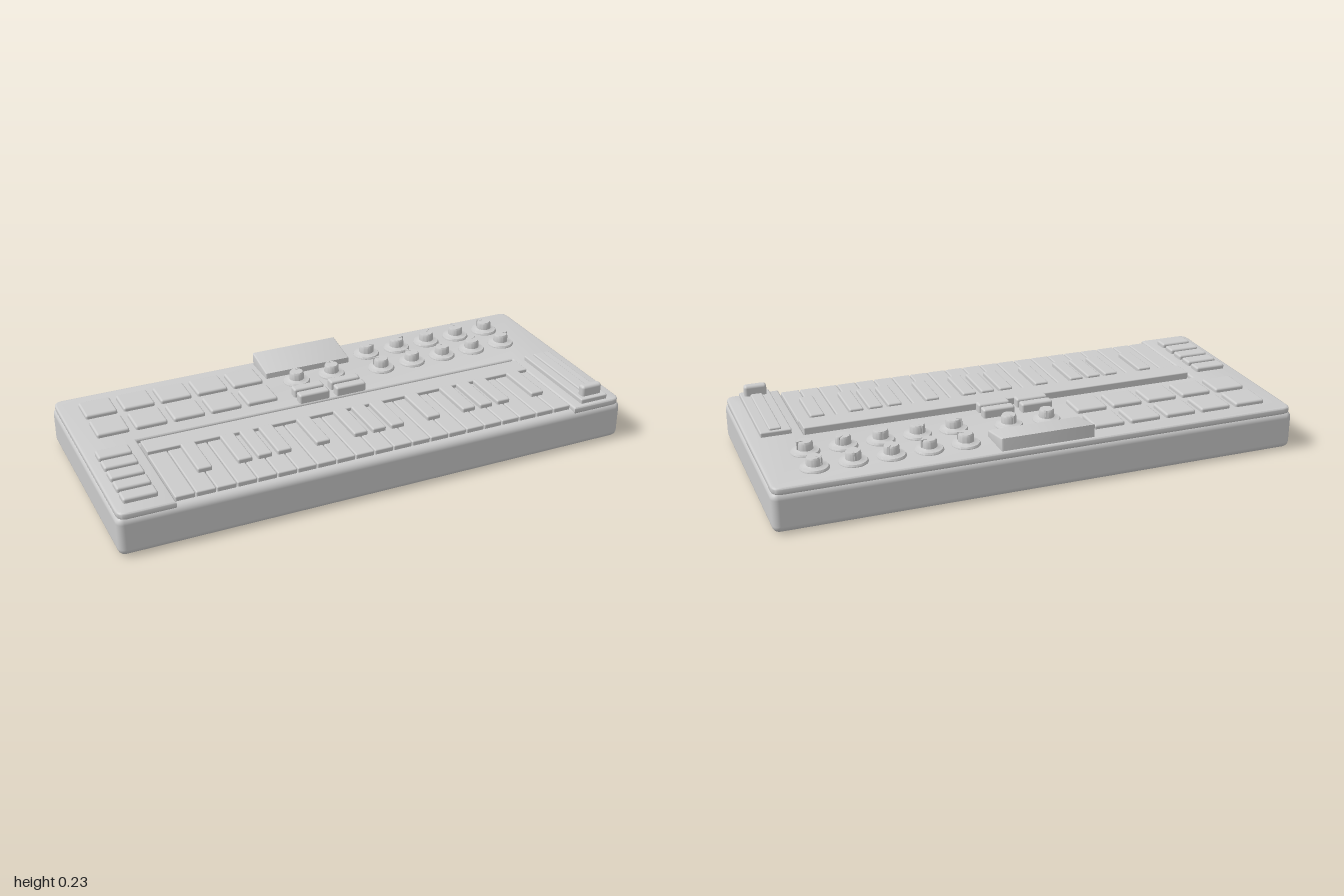
import * as THREE from 'three';
import { toCreasedNormals } from 'three/addons/utils/BufferGeometryUtils.js';
import { RoundedBoxGeometry } from 'three/addons/geometries/RoundedBoxGeometry.js';

const grey = new THREE.MeshStandardMaterial({ color: 0xcccccc });

export function createModel() {
  const root = new THREE.Group();

  const add = (name, geometry, x = 0, y = 0, z = 0, parent = root) => {
    const mesh = new THREE.Mesh(geometry, grey);
    mesh.name = name;
    mesh.position.set(x, y, z);
    parent.add(mesh);
    return mesh;
  };
  // Rounded block given by its extents on each axis
  const block = (name, [x0, x1], [y0, y1], [z0, z1], r = 0.006) =>
    add(name, new RoundedBoxGeometry(x1 - x0, y1 - y0, z1 - z0, 3, r),
      (x0 + x1) / 2, (y0 + y1) / 2, (z0 + z1) / 2);
  // Bevelled extrusion that keeps its outline size
  const extrude = (shape, depth, bevel) => toCreasedNormals(new THREE.ExtrudeGeometry(shape, {
    depth: depth - 2 * bevel, bevelThickness: bevel, bevelSize: bevel,
    bevelOffset: -bevel, bevelSegments: 3, curveSegments: 8,
  }).translate(0, 0, bevel), 0.6);

  // Case
  block('body', [-1, 1], [0.002, 0.152], [-0.438, 0.438], 0.026);
  block('basePlate', [-0.55, 0.55], [0, 0.01], [-0.33, 0.33], 0.003);

  // Top panel: rounded outline with a notch open to the front for the keys
  const W = 0.994, D = 0.434, R = 0.035, N = 0.79, B = 0.025;
  const panel = new THREE.Shape();
  panel.moveTo(N, -D);
  panel.lineTo(W - R, -D);
  panel.quadraticCurveTo(W, -D, W, -D + R);
  panel.lineTo(W, D - R);
  panel.quadraticCurveTo(W, D, W - R, D);
  panel.lineTo(-W + R, D);
  panel.quadraticCurveTo(-W, D, -W, D - R);
  panel.lineTo(-W, -D + R);
  panel.quadraticCurveTo(-W, -D, -W + R, -D);
  panel.lineTo(-N, -D);
  panel.lineTo(-N, B);
  panel.lineTo(N, B);
  panel.closePath();
  add('topPanel', extrude(panel, 0.026, 0.007).rotateX(-Math.PI / 2), 0, 0.143, 0);

  // Pads, two rows of five
  for (const z of [-0.303, -0.148]) {
    for (let i = 0; i < 5; i++) {
      const x = -0.855 + i * 0.1465;
      block('pad', [x - 0.061, x + 0.061], [0.155, 0.185], [z - 0.058, z + 0.058], 0.008);
    }
  }

  // Side buttons
  for (let i = 0; i < 5; i++) {
    const z = 0.047 + i * 0.0745;
    block('sideButton', [-0.957, -0.833], [0.155, 0.187], [z - 0.029, z + 0.029], 0.008);
  }

  // Centre buttons
  for (const x of [-0.08, 0.073]) {
    for (const z of [-0.103, -0.049]) {
      block('centreButton', [x - 0.062, x + 0.062], [0.155, 0.203], [z - 0.02, z + 0.02], 0.008);
    }
  }

  // Tilted display
  const wedge = new THREE.Shape([[-0.42, 0.155], [-0.275, 0.155], [-0.275, 0.191], [-0.42, 0.218]]
    .map(([z, y]) => new THREE.Vector2(z, y)));
  add('display', extrude(wedge, 0.358, 0.005).rotateY(-Math.PI / 2), 0.176, 0, 0);

  // Knobs: skirt and cap turned as one profile, with a pointer
  const profile = [[0, 0.165], [0.053, 0.165], [0.053, 0.172], [0.049, 0.178], [0.034, 0.18],
    [0.029, 0.183], [0.028, 0.206], [0.024, 0.213], [0, 0.213]];
  const knobGeometry = toCreasedNormals(
    new THREE.LatheGeometry(profile.map(([r, y]) => new THREE.Vector2(r, y)), 32), 0.6);
  const knob = (x, z, angle) => {
    const group = new THREE.Group();
    group.name = 'knob';
    group.position.set(x, 0, z);
    group.rotation.y = angle;
    root.add(group);
    add('knobCap', knobGeometry, 0, 0, 0, group);
    add('knobPointer', new THREE.BoxGeometry(0.022, 0.03, 0.007), 0.021, 0.2, 0, group);
  };
  for (let i = 0; i < 5; i++) {
    const x = 0.272 + i * 0.1375;
    knob(x, -0.313, -0.5 + i * 0.7);
    knob(x, -0.175, 2.6 - i * 0.6);
  }
  knob(-0.08, -0.21, 1.2);
  knob(0.07, -0.21, 1.9);

  // Keyboard: back strip, white keys, black keys on the boundaries
  block('keyStrip', [-0.785, 0.785], [0.14, 0.18], [0.006, 0.094], 0.004);
  const left = -0.787, pitch = 1.574 / 21;
  for (let i = 0; i < 21; i++) {
    const x = left + i * pitch;
    block('whiteKey', [x + 0.0015, x + pitch - 0.0015], [0.14, 0.17], [0.096, 0.405], 0.005);
  }
  for (const i of [2, 4, 5, 6, 8, 10, 11, 12, 14, 16, 17, 18, 20]) {
    const x = left + i * pitch;
    block('blackKey', [x - 0.027, x + 0.027], [0.15, 0.187], [0.097, 0.29], 0.006);
  }

  // Slider: plate, raised track and handle
  block('sliderPlate', [0.83, 0.945], [0.155, 0.187], [0.0, 0.415], 0.005);
  block('sliderTrack', [0.865, 0.91], [0.17, 0.195], [0.012, 0.365], 0.005);
  block('sliderHandle', [0.845, 0.931], [0.175, 0.228], [0.363, 0.396], 0.011);

  return root;
}
